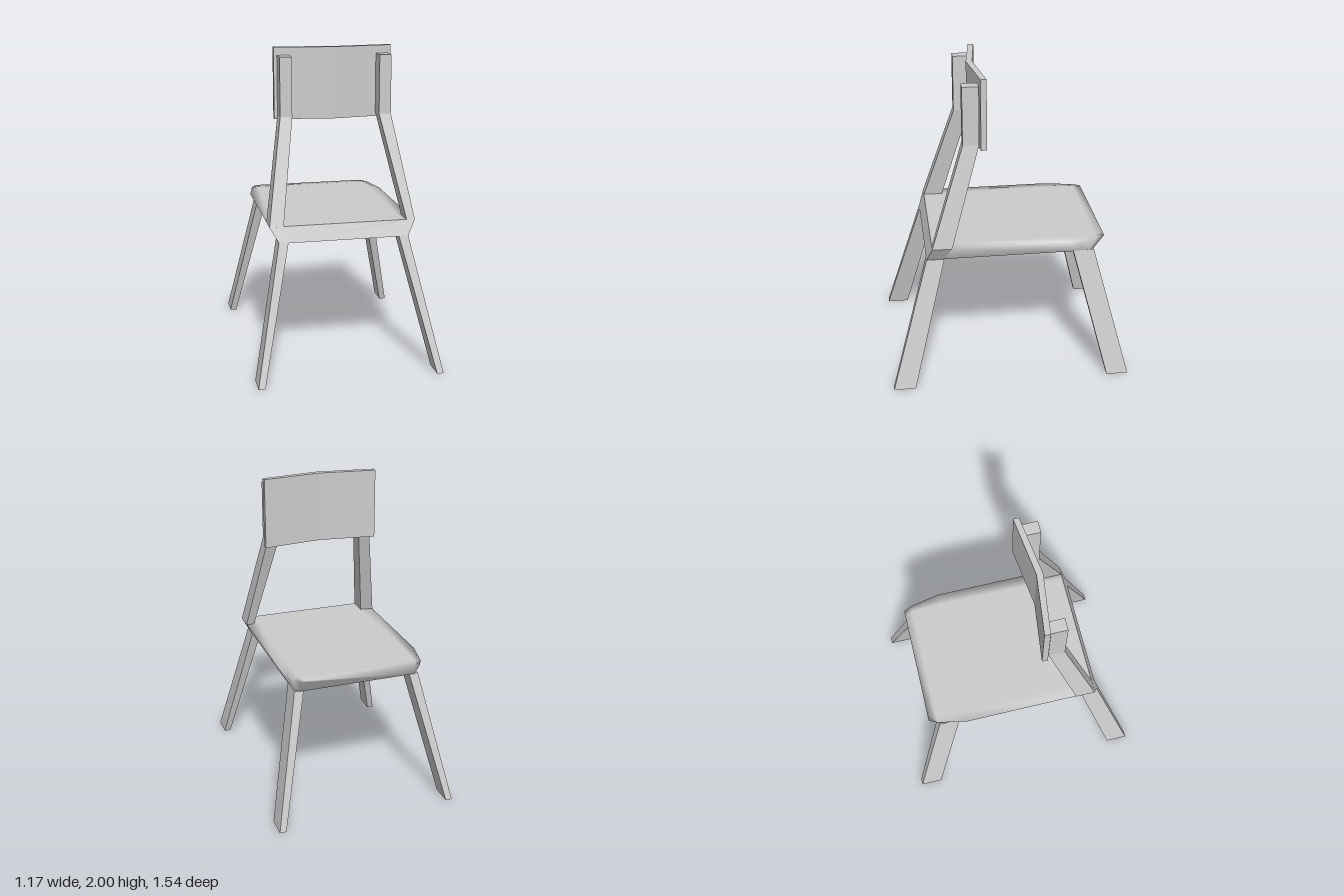
import * as THREE from 'three';

const material = new THREE.MeshStandardMaterial({ color: 0xcccccc, side: THREE.DoubleSide });
const flat = material.clone();
flat.flatShading = true;

function addMesh(group, name, geometry, mat = flat) {
  const mesh = new THREE.Mesh(geometry, mat);
  mesh.name = name;
  group.add(mesh);
  return mesh;
}

function indexed(points, index) {
  const g = new THREE.BufferGeometry();
  g.setAttribute('position', new THREE.Float32BufferAttribute(points.flat(), 3));
  g.setIndex(index);
  g.computeVertexNormals();
  return g;
}

// Square bar through rectangles [y, xInner, xOuter, zBack, zFront]; side mirrors x
function bar(sections, side) {
  const pts = [], idx = [];
  const quad = (a, b, c, d) => side > 0 ? idx.push(a, b, c, a, c, d) : idx.push(a, c, b, a, d, c);
  sections.forEach(([y, x0, x1, z0, z1]) =>
    pts.push([x0 * side, y, z1], [x1 * side, y, z1], [x1 * side, y, z0], [x0 * side, y, z0]));
  for (let s = 0; s < sections.length - 1; s++)
    for (let i = 0; i < 4; i++) {
      const a = s * 4 + i, b = s * 4 + (i + 1) % 4;
      quad(a, b, b + 4, a + 4);
    }
  quad(3, 2, 1, 0);
  const n = pts.length - 4;
  quad(n, n + 1, n + 2, n + 3);
  return indexed(pts, idx);
}

// Seat stations from one end to the other: [zTop, zBottom, xBottom, xTop, xInset]
const stations = [
  [0.49, 0.525, 0.41, 0.46, 0.375],
  [0.36, 0.4, 0.41, 0.46, 0.38],
  [-0.37, -0.37, 0.41, 0.46, 0.39],
  [-0.47, -0.46, 0.41, 0.44, 0.385],
  [-0.56, -0.52, 0.41, 0.422, 0.38],
  [-0.615, -0.55, 0.385, 0.395, 0.36],
];

function seatSection([zt, zb, xb, xt, xi]) {
  return [[-xb, 0.84, zb], [-xt, 0.935, zt], [-xi, 0.938, zt],
    [xi, 0.938, zt], [xt, 0.935, zt], [xb, 0.84, zb]];
}

// Smooth top, sides and undercut lip
function seatShell() {
  const pts = stations.flatMap(seatSection), idx = [];
  for (let s = 0; s < stations.length - 1; s++)
    for (let i = 0; i < 5; i++) {
      const a = s * 6 + i;
      idx.push(a, a + 1, a + 7, a, a + 7, a + 6);
    }
  const n = pts.length - 6;
  for (let i = 1; i < 5; i++) idx.push(n, n + i, n + i + 1);
  idx.forEach((v, i) => { if (i % 3 === 1) [idx[i], idx[i + 1]] = [idx[i + 1], idx[i]]; });
  // Keep the winding facing outwards
  const g = indexed(pts, idx);
  if (g.attributes.normal.getY(14) < 0) {
    for (let i = 0; i < idx.length; i += 3) [idx[i + 1], idx[i + 2]] = [idx[i + 2], idx[i + 1]];
    return indexed(pts, idx);
  }
  return g;
}

// Flat underside
function seatUnderside() {
  const pts = [], idx = [];
  stations.forEach(([, z, x]) => pts.push([-x, 0.84, z], [x, 0.84, z]));
  for (let s = 0; s < stations.length - 1; s++) {
    const a = s * 2;
    idx.push(a, a + 2, a + 1, a + 1, a + 2, a + 3);
  }
  return indexed(pts, idx);
}

// Flat rail face between the posts
function seatRail() {
  return indexed(seatSection(stations[0]), [0, 5, 4, 0, 4, 3, 0, 3, 2, 0, 2, 1]);
}

export function createModel() {
  const chair = new THREE.Group();
  chair.name = 'chair';

  const seat = new THREE.Group();
  seat.name = 'seat';
  chair.add(seat);
  addMesh(seat, 'seatTop', seatShell(), material);
  addMesh(seat, 'seatUnderside', seatUnderside());
  addMesh(seat, 'seatRail', seatRail());

  for (const side of [1, -1]) {
    const label = side > 0 ? 'left' : 'right';
    const inner = side > 0 ? 0.41 : 0.375;

    // Splayed legs
    addMesh(chair, label + 'BackrestLeg',
      bar([[0, 0.545, 0.587, 0.63, 0.77], [0.84, 0.352, 0.412, 0.412, 0.525]], side));
    addMesh(chair, label + 'OppositeLeg',
      bar([[0, 0.545, 0.587, -0.77, -0.63], [0.845, 0.352, 0.412, -0.55, -0.415]], side));

    // Bent backrest posts
    addMesh(chair, label + 'Post', bar([
      [0.84, 0.352, 0.41, 0.412, 0.525],
      [0.935, inner, 0.463, 0.365, 0.49],
      [1.58, 0.278, 0.354, 0.178, 0.28],
      [1.95, 0.278, 0.354, 0.178, 0.28],
    ], side));
  }

  // Backrest panel, slightly folded at the middle
  const plan = new THREE.Shape([[-0.373, -0.135], [0.377, -0.135], [0.377, -0.172],
    [0, -0.22], [-0.373, -0.172]].map(([x, y]) => new THREE.Vector2(x, y)));
  plan.curves.length = 0;
  plan.setFromPoints([[-0.373, -0.133], [0, -0.18], [0.377, -0.133], [0.377, -0.17],
    [0, -0.22], [-0.373, -0.17]].map(([x, y]) => new THREE.Vector2(x, y)));
  const panel = new THREE.ExtrudeGeometry(plan, { depth: 0.45, bevelEnabled: false });
  panel.rotateX(-Math.PI / 2).translate(0, 1.55, 0);
  addMesh(chair, 'backrestPanel', panel);

  return chair;
}
